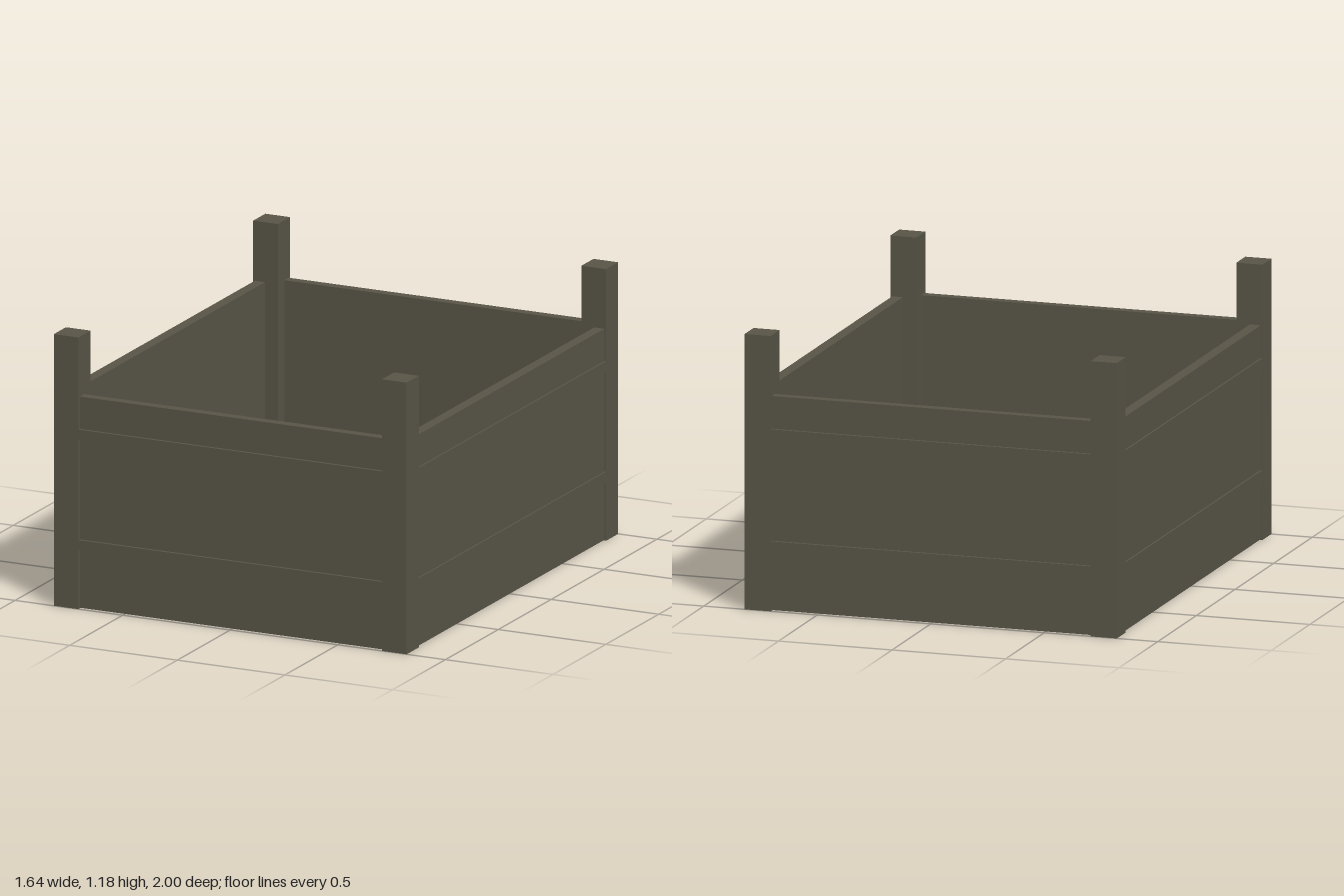
import * as THREE from 'three';

const HX = 0.82, HZ = 1, POST = 0.115, POST_H = 1.18;

export function createModel() {
  const model = new THREE.Group();
  model.name = 'planterBox';
  const wood = new THREE.MeshStandardMaterial({ color: 0x5a5748 });
  wood.name = 'weatheredWood';

  // box from its lower and upper corners
  const box = (name, x0, x1, y0, y1, z0, z1) => {
    const mesh = new THREE.Mesh(new THREE.BoxGeometry(x1 - x0, y1 - y0, z1 - z0), wood);
    mesh.position.set((x0 + x1) / 2, (y0 + y1) / 2, (z0 + z1) / 2);
    mesh.name = name;
    model.add(mesh);
  };
  const ix = HX - POST, iz = HZ - POST;

  // corner posts
  for (const sx of [-1, 1]) for (const sz of [-1, 1]) {
    const cx = sx * (HX - POST / 2), cz = sz * (HZ - POST / 2), h = POST / 2;
    box('cornerPost', cx - h, cx + h, 0, POST_H, cz - h, cz + h);
  }

  // walls between the posts, with two raised rails flush with the post faces
  const rails = [[0.255, 0.3], [0.735, 0.78]];
  const alongX = (name, s, a, b, y0, y1) =>
    box(name, -ix, ix, y0, y1, Math.min(s * a, s * b), Math.max(s * a, s * b));
  const alongZ = (name, s, a, b, y0, y1) =>
    box(name, Math.min(s * a, s * b), Math.max(s * a, s * b), y0, y1, -iz, iz);
  for (const s of [-1, 1]) {
    alongX(s > 0 ? 'frontWall' : 'backWall', s, 0.945, 0.987, 0.003, 0.92);
    alongZ(s > 0 ? 'leftWall' : 'rightWall', s, 0.765, 0.812, 0.003, 0.92);
    for (const [y0, y1] of rails) {
      alongX(s > 0 ? 'frontRail' : 'backRail', s, 0.98, HZ, y0, y1);
      alongZ(s > 0 ? 'leftRail' : 'rightRail', s, 0.805, HX, y0, y1);
    }
  }

  // floor panel, raised off the ground
  box('floor', -0.77, 0.77, 0.08, 0.1, -0.95, 0.95);
  return model;
}
